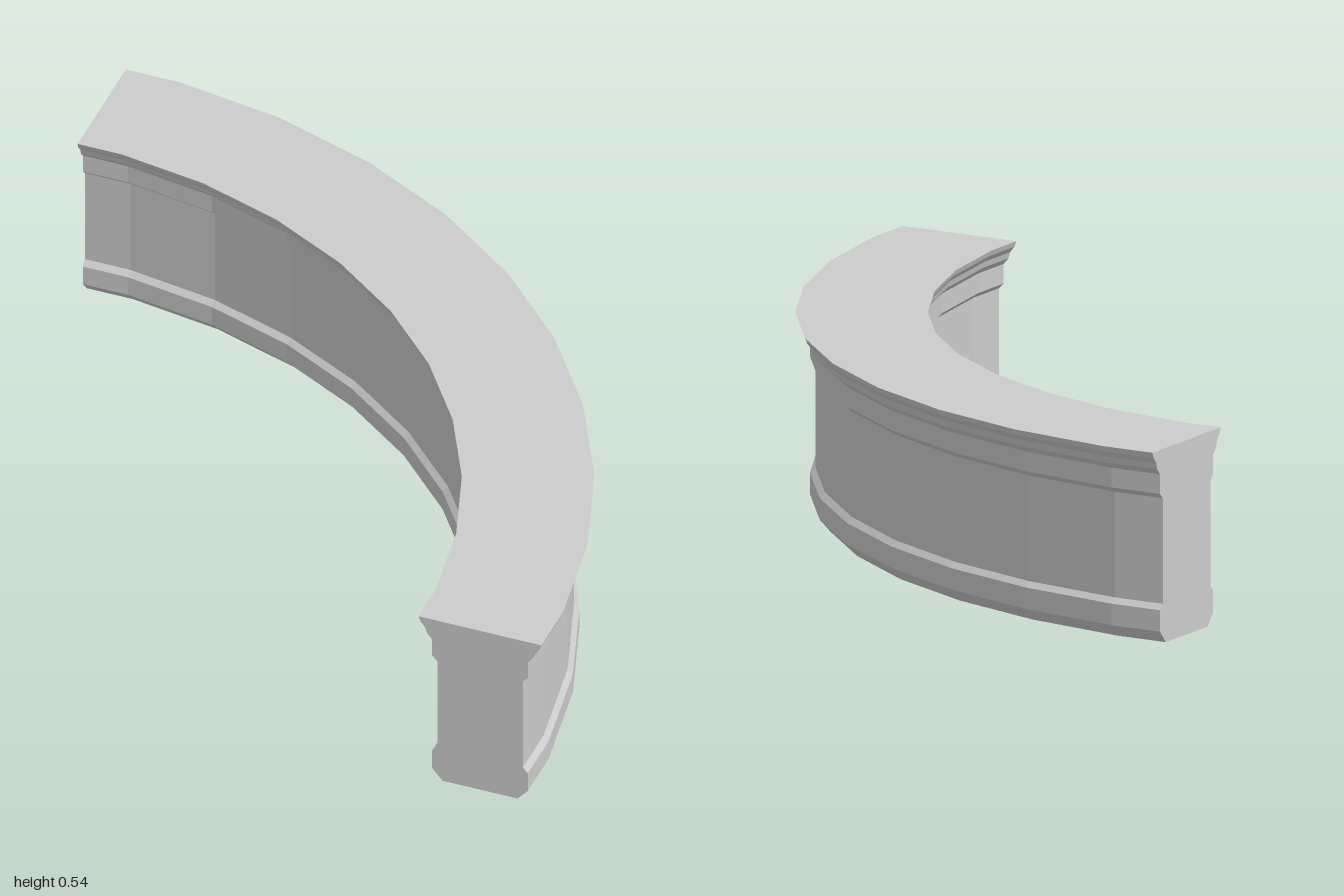
import * as THREE from 'three';

// Half of the moulding's cross-section: [half width, height], bottom to top
const HALF_PROFILE = [
  [0.11, 0], [0.14, 0.035], [0.14, 0.095], [0.125, 0.11],
  [0.125, 0.405], [0.14, 0.42], [0.14, 0.475], [0.155, 0.492],
  [0.16, 0.51], [0.174, 0.527], [0.18, 0.543],
];
const MID_RADIUS = 1.82;
const STEP = Math.PI / 20; // nine degrees per facet
const SPANS = 11; // ten facets, with a half facet at each end

export function createModel() {
  const group = new THREE.Group();
  group.name = 'curvedCurb';

  // Closed cross-section, mirrored about its middle
  const outer = HALF_PROFILE.map(([w, y]) => new THREE.Vector2(MID_RADIUS + w, y));
  const inner = HALF_PROFILE.map(([w, y]) => new THREE.Vector2(MID_RADIUS - w, y)).reverse();
  const shape = new THREE.Shape([...outer, ...inner]);

  // Extrude straight, then bend the spans around a quarter turn
  const geometry = new THREE.ExtrudeGeometry(shape, {
    depth: SPANS, steps: SPANS, bevelEnabled: false,
  });
  const pos = geometry.attributes.position;
  for (let i = 0; i < pos.count; i++) {
    const k = Math.round(pos.getZ(i));
    const isEnd = k === 0 || k === SPANS;
    const angle = THREE.MathUtils.clamp((k - 0.5) * STEP, 0, Math.PI / 2);
    // Corners lie outside the radius so the facet middles touch it
    const r = pos.getX(i) / (isEnd ? 1 : Math.cos(STEP / 2));
    pos.setXYZ(i, -1 + r * Math.sin(angle), pos.getY(i), 1 - r * Math.cos(angle));
  }
  geometry.computeVertexNormals();

  const curb = new THREE.Mesh(
    geometry,
    new THREE.MeshStandardMaterial({ color: 0xcccccc, flatShading: true }),
  );
  curb.name = 'mouldedArc';
  group.add(curb);
  return group;
}
